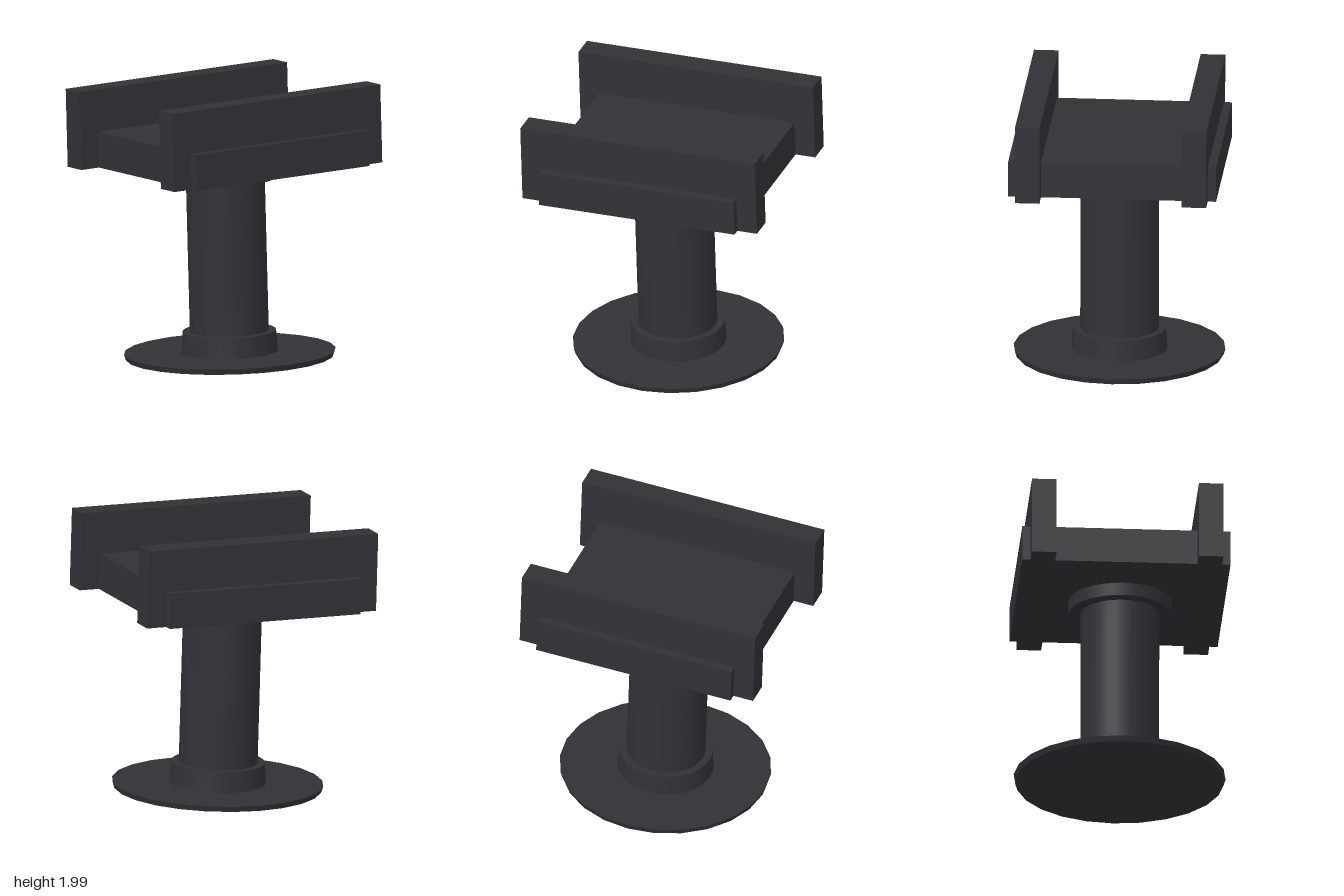
import * as THREE from 'three';

export function createModel() {
  const model = new THREE.Group();
  model.name = 'pedestalStand';

  const material = new THREE.MeshStandardMaterial({ color: 0x303236 });

  // The whole stand leans slightly towards -x, pivoting at the foot
  const stand = new THREE.Group();
  stand.name = 'leaningStand';
  stand.position.set(0.048, 0.027, 0);
  stand.rotation.z = 0.0306;
  model.add(stand);

  function add(name, geometry, y, z = 0) {
    const mesh = new THREE.Mesh(geometry, material);
    mesh.name = name;
    mesh.position.set(0, y, z);
    stand.add(mesh);
  }

  // Round part between two heights, with a radius at each end
  function round(name, rTop, rBottom, y0, y1, sides = 32) {
    add(name, new THREE.CylinderGeometry(rTop, rBottom, y1 - y0, sides), (y0 + y1) / 2);
  }

  // Rectangular part between two heights
  function block(name, width, depth, y0, y1, z = 0) {
    add(name, new THREE.BoxGeometry(width, y1 - y0, depth), (y0 + y1) / 2, z);
  }

  // Foot, post and collars
  round('basePlate', 0.753, 0.74, 0, 0.04, 24);
  round('lowerCollar', 0.332, 0.341, 0.04, 0.19);
  round('column', 0.28, 0.28, 0.04, 1.39);
  round('upperCollar', 0.369, 0.366, 1.29, 1.385);

  // Platform carrying two upright side rails
  block('platform', 1.478, 1.48, 1.383, 1.64);
  for (const side of [-1, 1]) {
    block(side > 0 ? 'frontRail' : 'backRail', 1.775, 0.175, 1.383, 1.945, side * 0.593);
  }

  return model;
}
